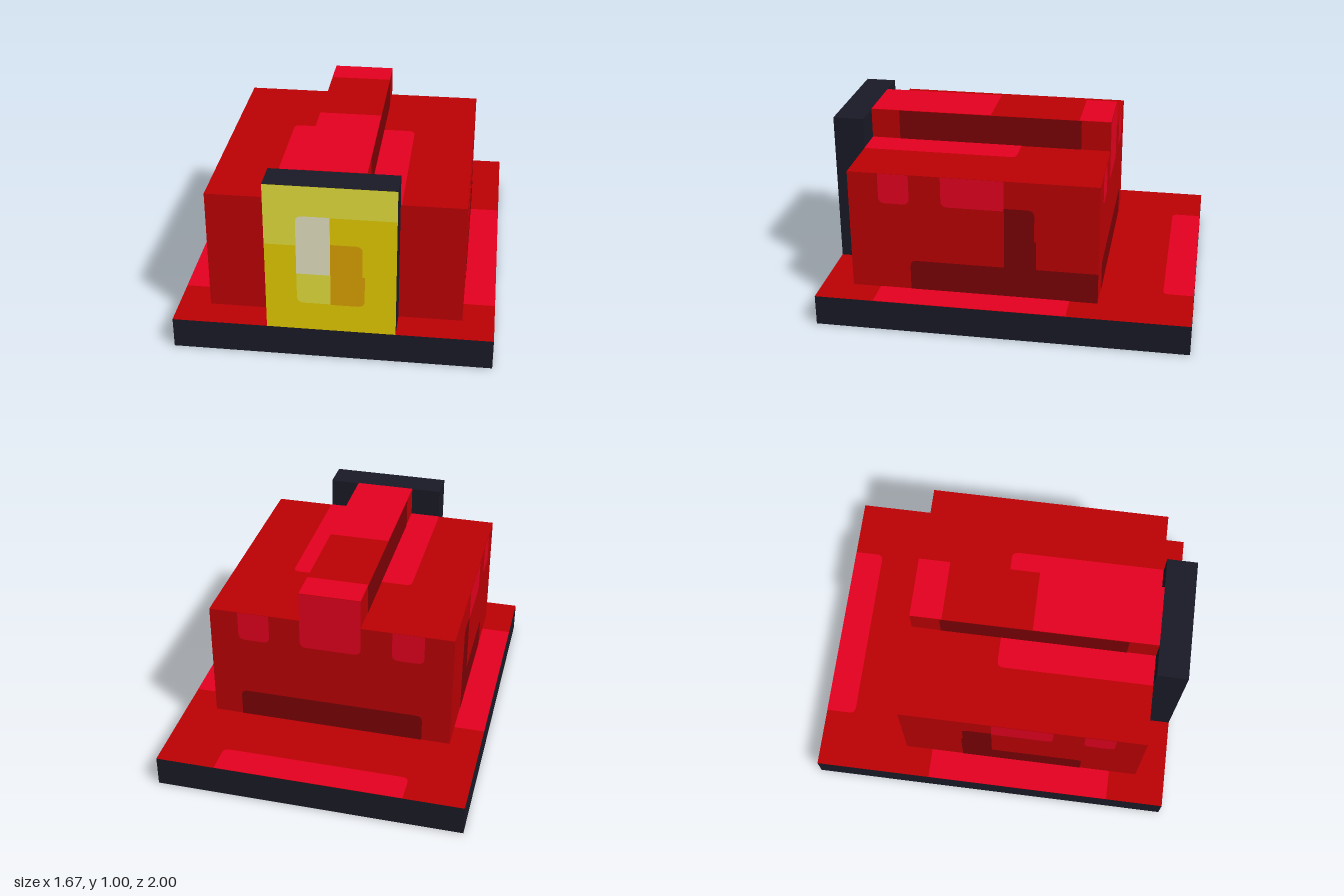
import * as THREE from 'three';

const U = 1 / 6; // one grid step of the block
const LIFT = 0.002; // painted patches sit just above their face

function mat(name, color) {
  const m = new THREE.MeshStandardMaterial({ color });
  m.name = name;
  return m;
}

// Rectangle whose flagged corners (top left, top right, bottom right, bottom left) are rounded
function patchShape(x0, x1, y0, y1, corners) {
  const [tl, tr, br, bl] = [...corners].map((c) => (c === '1' ? 0.035 : 0));
  const s = new THREE.Shape();
  s.moveTo(x0 + bl, y0);
  s.lineTo(x1 - br, y0);
  if (br) s.quadraticCurveTo(x1, y0, x1, y0 + br);
  s.lineTo(x1, y1 - tr);
  if (tr) s.quadraticCurveTo(x1, y1, x1 - tr, y1);
  s.lineTo(x0 + tl, y1);
  if (tl) s.quadraticCurveTo(x0, y1, x0, y1 - tl);
  s.lineTo(x0, y0 + bl);
  if (bl) s.quadraticCurveTo(x0, y0, x0 + bl, y0);
  return s;
}

export function createModel() {
  const red = mat('red', 0xbc0003);
  const bright = mat('brightRed', 0xe4001f);
  const dark = mat('darkRed', 0x7b0005);
  const navy = mat('navy', 0x1a1a27);
  const yellow = mat('yellow', 0xe5cb00);
  const pale = mat('paleYellow', 0xe5df3c);
  const ivory = mat('ivory', 0xe5e3c3);
  const amber = mat('amber', 0xdba200);

  const model = new THREE.Group();
  model.name = 'model';

  // Box given by its limits; a material array is ordered +x -x +y -y +z -z
  function box(name, material, [x0, x1], [y0, y1], [z0, z1]) {
    const mesh = new THREE.Mesh(new THREE.BoxGeometry(x1 - x0, y1 - y0, z1 - z0), material);
    mesh.position.set((x0 + x1) / 2, (y0 + y1) / 2, (z0 + z1) / 2);
    mesh.name = name;
    model.add(mesh);
  }

  // Group of patches on a face; its local z points outwards, local x and y lie in the face
  function face(name, rx, ry, distance, patches) {
    const g = new THREE.Group();
    g.name = name;
    g.rotation.set(rx, ry, 0);
    g.position.set(0, 0, distance + LIFT).applyEuler(g.rotation);
    patches.forEach(([material, x0, x1, y0, y1, corners = '0000'], i) => {
      const mesh = new THREE.Mesh(new THREE.ShapeGeometry(patchShape(x0, x1, y0, y1, corners), 4), material);
      mesh.name = `${name}Patch${i + 1}`;
      g.add(mesh);
    });
    model.add(g);
  }

  const H = Math.PI / 2;

  // Solid blocks
  box('base', [navy, navy, red, red, navy, navy], [-5 * U, 5 * U], [0, U], [-1, 1]);
  box('body', red, [-4 * U, 4 * U], [U, 5 * U], [-0.5, 5 * U]);
  box('ridge', red, [-U, U], [5 * U, 1], [-0.5, 5 * U]);
  box('frontPlate', [navy, navy, navy, navy, yellow, navy], [-2 * U, 2 * U], [U, 1], [5 * U, 1]);

  // Base top and underside (top: local y = -z, underside: local y = z)
  face('baseTop', -H, 0, U, [
    [bright, -0.51, 0.51, 0.835, 1, '0011'],
    [bright, -0.833, -0.667, -0.68, 0.35],
    [bright, 0.667, 0.833, -0.68, 0.35],
  ]);
  face('baseUnderside', H, 0, 0, [
    [bright, -0.51, 0.51, -1, -0.835, '1100'],
    [bright, -0.833, -0.68, -0.35, 0.68, '0110'],
    [bright, 0.68, 0.833, -0.35, 0.68, '1001'],
    [bright, -0.16, 0.51, 0.835, 1, '0011'],
  ]);

  // Body top and ridge top
  face('bodyTop', -H, 0, 5 * U, [
    [bright, -0.337, -U, -0.833, 0.01, '1000'],
    [bright, U, 0.34, -0.833, 0.01, '0100'],
  ]);
  face('ridgeTop', -H, 0, 1, [
    [bright, -U, U, -0.833, -0.16],
    [bright, -U, U, 0.328, 0.5],
  ]);

  // Mirrored sides: s = 1 is the +x side, where local x = -z
  for (const s of [1, -1]) {
    const side = s > 0 ? 'left' : 'right';
    const span = (material, zFront, zBack, y0, y1, corners) =>
      [material, Math.min(-s * zFront, -s * zBack), Math.max(-s * zFront, -s * zBack), y0, y1, corners];
    face(`${side}BodySide`, 0, s * H, 4 * U, [
      span(bright, 0.67, 0.505, 0.665, 0.833, '0011'),
      span(bright, 0.335, 0, 0.665, 0.833, s > 0 ? '0001' : '0010'),
      span(dark, 0.51, s > 0 ? -0.5 : -0.17, U, 0.338, s > 0 ? '1000' : '0100'),
      span(dark, 0, -0.17, 0.338, 0.5),
      span(dark, 0, -0.16, 0.5, 0.68, s > 0 ? '0100' : '1000'),
    ]);
    face(`${side}RidgeSide`, 0, s * H, U, [
      span(dark, 0.675, -0.34, 5 * U, 1),
    ]);
  }

  // Back of body and ridge (local x = -x)
  face('back', 0, Math.PI, 0.5, [
    [bright, -U, U, 4 * U, 1, '0011'],
    [bright, -0.51, -0.337, 0.665, 0.833, '0011'],
    [bright, 0.337, 0.51, 0.665, 0.833, '0011'],
    [dark, -0.51, 0.51, U, 0.325, '1100'],
  ]);

  // Painted front of the plate
  face('plateFront', 0, 0, 1, [
    [pale, -2 * U, 0, 0.665, 1],
    [pale, 0, 2 * U, 0.832, 1],
    [pale, -0.172, 0, 0.328, 0.502, '0001'],
    [amber, 0, 0.163, 0.5, 0.68, '0100'],
    [amber, 0, 0.174, 0.325, 0.5, '0010'],
  ]);
  face('plateHighlight', 0, 0, 1 + LIFT, [
    [ivory, -0.172, 0, 0.502, 0.835, '1000'],
  ]);

  return model;
}
